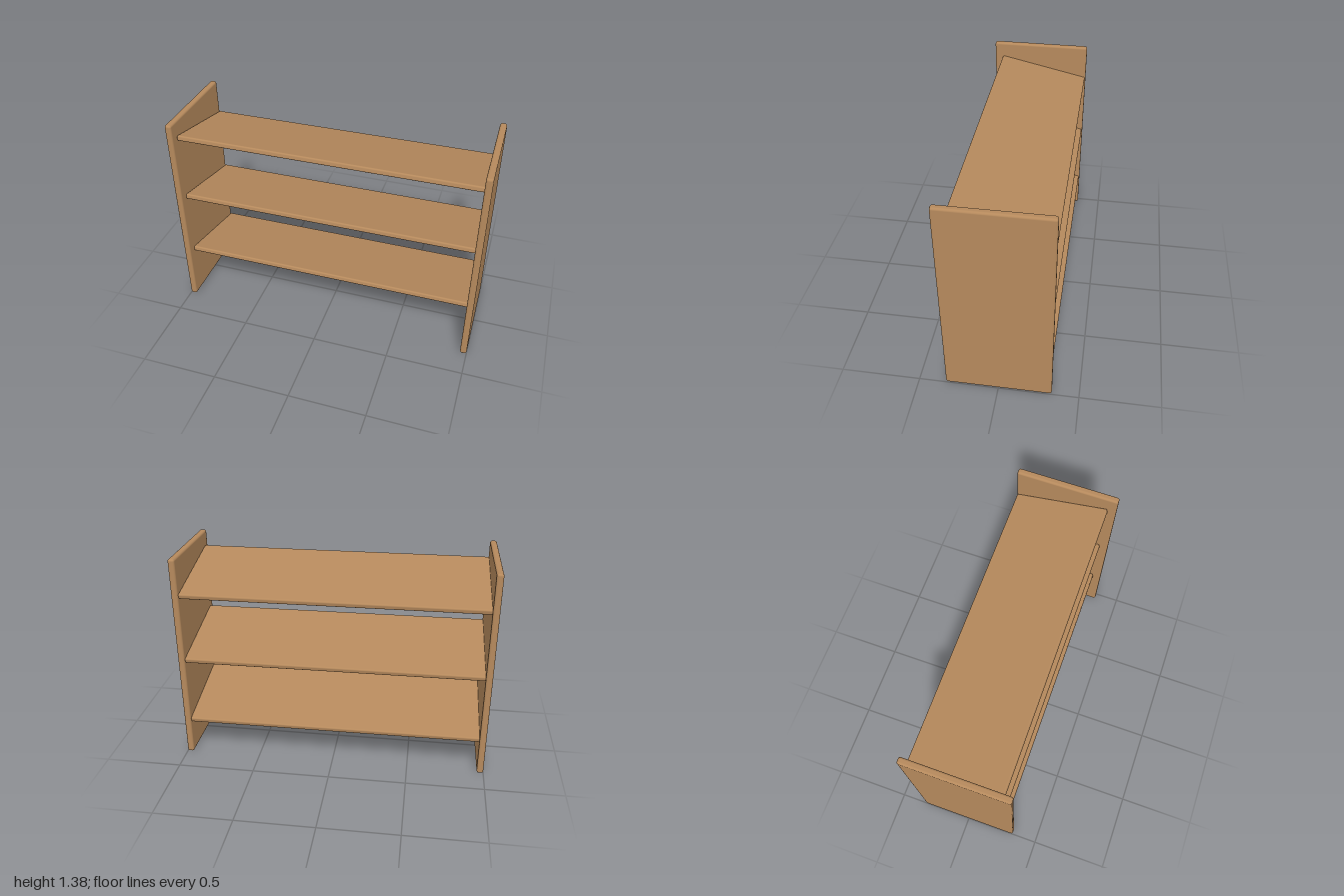
import * as THREE from 'three';
import { RoundedBoxGeometry } from 'three/addons/geometries/RoundedBoxGeometry.js';

export function createModel() {
  const group = new THREE.Group();
  const wood = new THREE.MeshStandardMaterial({ color: 0xb5895c });

  const addBoard = (name, [w, h, d], [x, y, z], radius) => {
    const board = new THREE.Mesh(new RoundedBoxGeometry(w, h, d, 3, radius), wood);
    board.name = name;
    board.position.set(x, y, z);
    group.add(board);
    return board;
  };

  // Upright end panels
  const height = 1.378, thickness = 0.043;
  for (const side of [1, -1]) {
    addBoard(side > 0 ? 'leftPanel' : 'rightPanel',
      [thickness, height, 0.663], [side * (1 - thickness / 2), height / 2, 0], 0.014);
  }

  // Three shelves, sloping down towards the back
  ['lowerShelf', 'middleShelf', 'upperShelf'].forEach((name, i) => {
    const shelf = addBoard(name, [1.914, 0.034, 0.616], [0, 0.315 + i * 0.4435, -0.024], 0.01);
    shelf.rotation.x = -THREE.MathUtils.degToRad(12.5);
  });

  return group;
}
